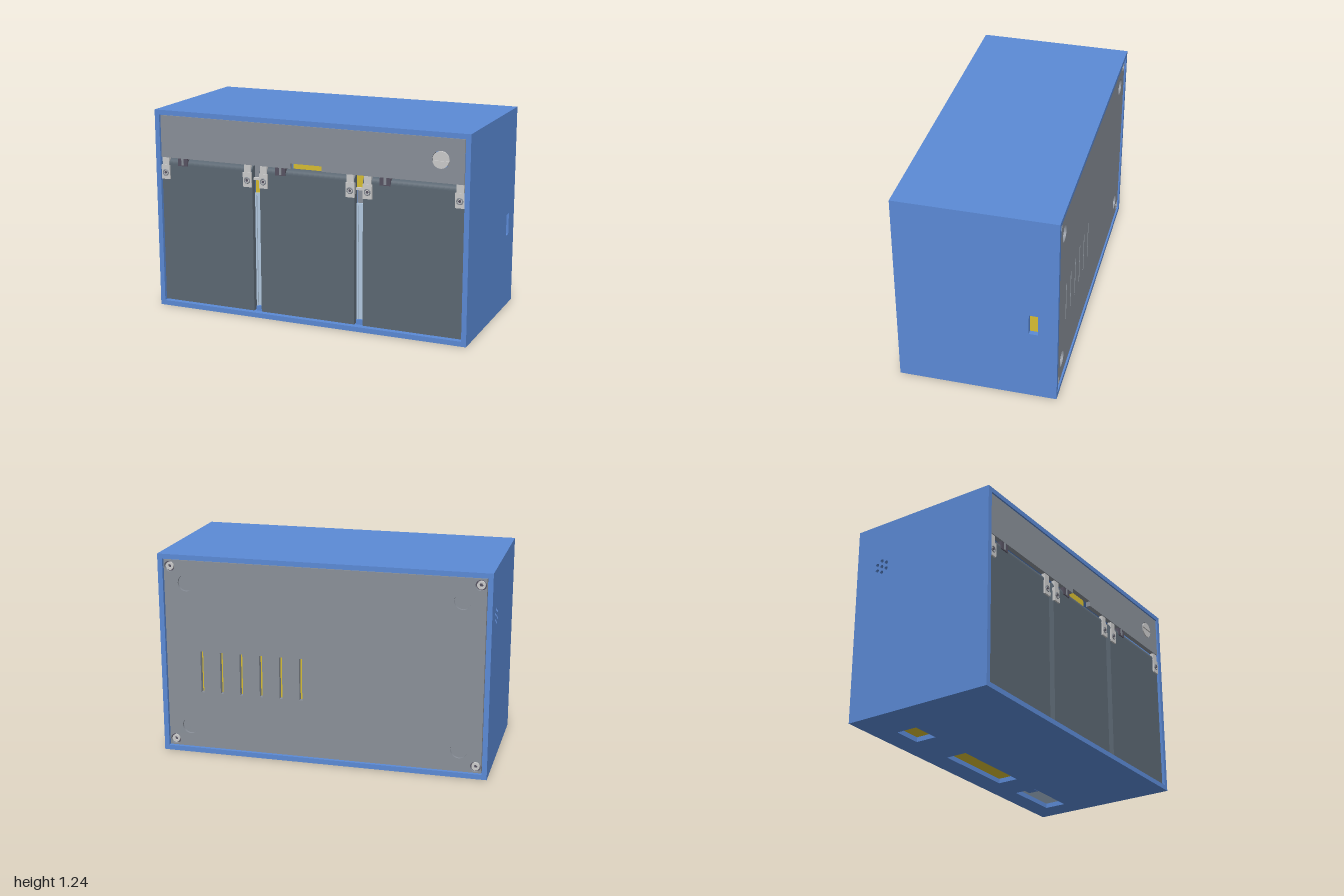
import * as THREE from 'three';

const mat = (color) => new THREE.MeshStandardMaterial({ color });
const blue = mat(0x5b8ad6), grey = mat(0x8a9099), light = mat(0xcccccc), dark = mat(0x5c6873);
const yellow = mat(0xd8be32), pale = mat(0xb4cbe2), shadow = mat(0x575362);

export function createModel() {
  const root = new THREE.Group();

  function add(name, geometry, material, x = 0, y = 0, z = 0, parent = root) {
    const mesh = new THREE.Mesh(geometry, material);
    mesh.name = name;
    mesh.position.set(x, y, z);
    parent.add(mesh);
    return mesh;
  }
  // Box given by its limits
  function block(name, material, x0, x1, y0, y1, z0, z1, parent) {
    return add(name, new THREE.BoxGeometry(x1 - x0, y1 - y0, z1 - z0), material,
      (x0 + x1) / 2, (y0 + y1) / 2, (z0 + z1) / 2, parent);
  }
  // Cylinder lying along z
  function disc(name, material, r, depth, x, y, z, parent) {
    return add(name, new THREE.CylinderGeometry(r, r, depth, 28).rotateX(Math.PI / 2), material, x, y, z, parent);
  }
  const rect = (a, b, c, d, Type = THREE.Path) =>
    new Type([[a, c], [b, c], [b, d], [a, d]].map(([x, y]) => new THREE.Vector2(x, y)));
  const circle = (x, y, r) => new THREE.Path().absarc(x, y, r, 0, Math.PI * 2, true);
  function extrude(shape, depth, holes = []) {
    shape.holes.push(...holes);
    return new THREE.ExtrudeGeometry(shape, { depth, bevelEnabled: false, curveSegments: 20 });
  }
  const plate = (a, b, c, d, depth, holes) => extrude(rect(a, b, c, d, THREE.Shape), depth, holes);

  // Outer case: top, bottom with sockets, right wall with slot, left wall with sound holes
  const T = 0.03, Z = 0.475, H = 1.24;
  block('caseTop', blue, -1, 1, H - T, H, -Z, Z);
  const sockets = [[0.49, 0.85, -0.35, -0.21], [-0.265, 0.28, -0.335, -0.2], [-0.745, -0.565, -0.33, -0.195]];
  add('caseBottom', plate(-1, 1, -Z, Z, T, sockets.map((s) => rect(...s))).rotateX(Math.PI / 2), blue, 0, T, 0);
  add('caseRightWall', plate(-Z, Z, T, H - T, T, [rect(-0.36, -0.307, 0.46, 0.593)]).rotateY(-Math.PI / 2), blue, 1);
  const soundHoles = [circle(-0.29, 0.95, 0.012)];
  for (let i = 0; i < 6; i++) {
    const a = i * Math.PI / 3 + Math.PI / 6;
    soundHoles.push(circle(-0.29 + 0.038 * Math.cos(a), 0.95 + 0.038 * Math.sin(a), 0.012));
  }
  add('caseLeftWall', plate(-Z, Z, T, H - T, T, soundHoles).rotateY(-Math.PI / 2), blue, -1 + T);

  // Back panel with slots, round pockets and corner screws
  const corners = (x, y0, y1) => [[x, y0], [x, y1], [-x, y0], [-x, y1]];
  const backHoles = [];
  for (let i = 0; i < 6; i++) {
    const x = 0.743 - i * 0.1235;
    backHoles.push(rect(x - 0.009, x + 0.009, 0.39, 0.65));
  }
  const pockets = corners(0.83, 0.167, 1.067), screws = corners(0.93, 0.072, 1.165);
  pockets.forEach(([x, y]) => backHoles.push(circle(x, y, 0.05)));
  screws.forEach(([x, y]) => backHoles.push(circle(x, y, 0.032)));
  add('backPanel', plate(-0.965, 0.965, 0.035, 1.205, 0.03, backHoles), grey, 0, 0, -0.465);
  pockets.forEach(([x, y]) => disc('pocketFloor', grey, 0.055, 0.01, x, y, -0.445));
  screws.forEach(([x, y]) => {
    disc('screwSeat', shadow, 0.036, 0.01, x, y, -0.44);
    const head = new THREE.Shape().absarc(x, y, 0.024, 0, Math.PI * 2);
    const hex = new THREE.Path();
    for (let i = 0; i < 6; i++) {
      const a = -i * Math.PI / 3;
      hex[i ? 'lineTo' : 'moveTo'](x + 0.012 * Math.cos(a), y + 0.012 * Math.sin(a));
    }
    add('screwHead', extrude(head, 0.016, [hex]), light, 0, 0, -0.461);
  });

  // Boards and connectors inside, behind the slots and sockets
  block('backBoard', yellow, 0.05, 0.85, 0.3, 0.75, -0.4, -0.38);
  block('sideConnector', yellow, 0.9, 0.968, 0.45, 0.605, -0.37, -0.297);
  sockets.forEach(([a, b, c, d], i) =>
    block('socketConnector', i ? yellow : pale, a - 0.01, b + 0.01, 0.032, 0.1, c - 0.01, d + 0.01));
  block('socketLatch', blue, 0.49, 0.57, 0.012, 0.032, -0.3, -0.23);
  block('speaker', shadow, -0.96, -0.93, 0.88, 1.02, -0.36, -0.22);
  block('innerWall', blue, -0.97, 0.97, 0.03, 1.21, -0.15, -0.12);

  // Front header strip with a notch below and a slotted lock
  const header = new THREE.Shape([[-0.965, 0.948], [-0.1, 0.948], [-0.1, 0.98], [0.1, 0.98], [0.1, 0.948],
    [0.965, 0.948], [0.965, 1.207], [-0.965, 1.207]].map(([x, y]) => new THREE.Vector2(x, y)));
  add('headerPanel', extrude(header, 0.03, [circle(0.825, 1.08, 0.052)]), grey, 0, 0, 0.438);
  const lock = new THREE.Group();
  lock.name = 'lock';
  lock.position.set(0.825, 1.08, 0);
  root.add(lock);
  disc('lockCore', light, 0.049, 0.03, 0, 0, 0.45, lock);
  [1, -1].forEach((s) => {
    const a0 = s > 0 ? 0.13 : Math.PI + 0.13;
    const half = new THREE.Shape().absarc(0, 0, 0.049, a0, a0 + Math.PI - 0.26);
    add('lockFace', extrude(half, 0.008), light, 0, 0, 0.465, lock);
  });
  block('headerBoard', yellow, -0.1, 0.1, 0.935, 1.0, 0.36, 0.42);
  [[-0.75, -0.54], [0.54, 0.77], [0.1, 0.24]].forEach(([a, b]) =>
    block('headerStrip', yellow, a, b, 0.938, 0.952, 0.36, 0.425));

  // Three doors, each with a rounded top edge, corner brackets and a latch
  const doors = [[-0.968, -0.355], [-0.305, 0.302], [0.355, 0.968]];
  doors.forEach(([a, b], i) => {
    const profile = new THREE.Shape();
    profile.moveTo(0.415, 0.037);
    profile.lineTo(0.458, 0.037);
    profile.lineTo(0.458, 0.905);
    profile.quadraticCurveTo(0.458, 0.94, 0.415, 0.94);
    add('door', extrude(profile, b - a).rotateY(-Math.PI / 2), dark, b);
    const latch = [-0.825, -0.17, 0.49][i];
    block('latch', shadow, latch - 0.03, latch + 0.035, 0.9, 0.948, 0.43, 0.464);
    block('latchPin', grey, latch - 0.005, latch + 0.01, 0.905, 0.948, 0.46, 0.467);
  });
  [[-0.968, -0.912], [-0.413, -0.357], [-0.306, -0.252], [0.25, 0.304], [0.357, 0.413], [0.912, 0.968]]
    .forEach(([a, b]) => {
      const x = (a + b) / 2;
      block('bracketPlate', light, a, b, 0.812, 0.9, 0.45, 0.468);
      block('bracketArm', light, a + 0.006, b - 0.006, 0.9, 0.948, 0.44, 0.463);
      add('bracketScrew', new THREE.TorusGeometry(0.017, 0.004, 8, 24), grey, x, 0.853, 0.468);
      disc('bracketPin', shadow, 0.008, 0.004, x, 0.853, 0.469);
    });

  // Dividers between the doors, with a framed front and a cable plug above
  [-0.33, 0.328].forEach((x, i) => {
    block('divider', pale, x - 0.025, x + 0.025, 0.06, 0.77, -0.12, 0.415);
    [-1, 1].forEach((s) => block('dividerRail', pale, x + s * 0.02 - 0.005, x + s * 0.02 + 0.005, 0.06, 0.77, 0.4, 0.424));
    block('dividerCap', pale, x - 0.015, x + 0.015, 0.757, 0.77, 0.4, 0.424);
    block('dividerFoot', blue, x - 0.025, x + 0.025, 0.03, 0.06, -0.12, 0.43);
    block('lowerPlug', i ? grey : yellow, x - 0.025, x + 0.025, 0.77, 0.855, 0.2, 0.41);
    block('upperPlug', i ? yellow : grey, x - 0.025, x + 0.025, 0.865, 0.96, 0.2, 0.42);
    block('plugBar', light, x - 0.025, x + 0.025, 0.853, 0.867, 0.2, 0.44);
  });

  return root;
}
